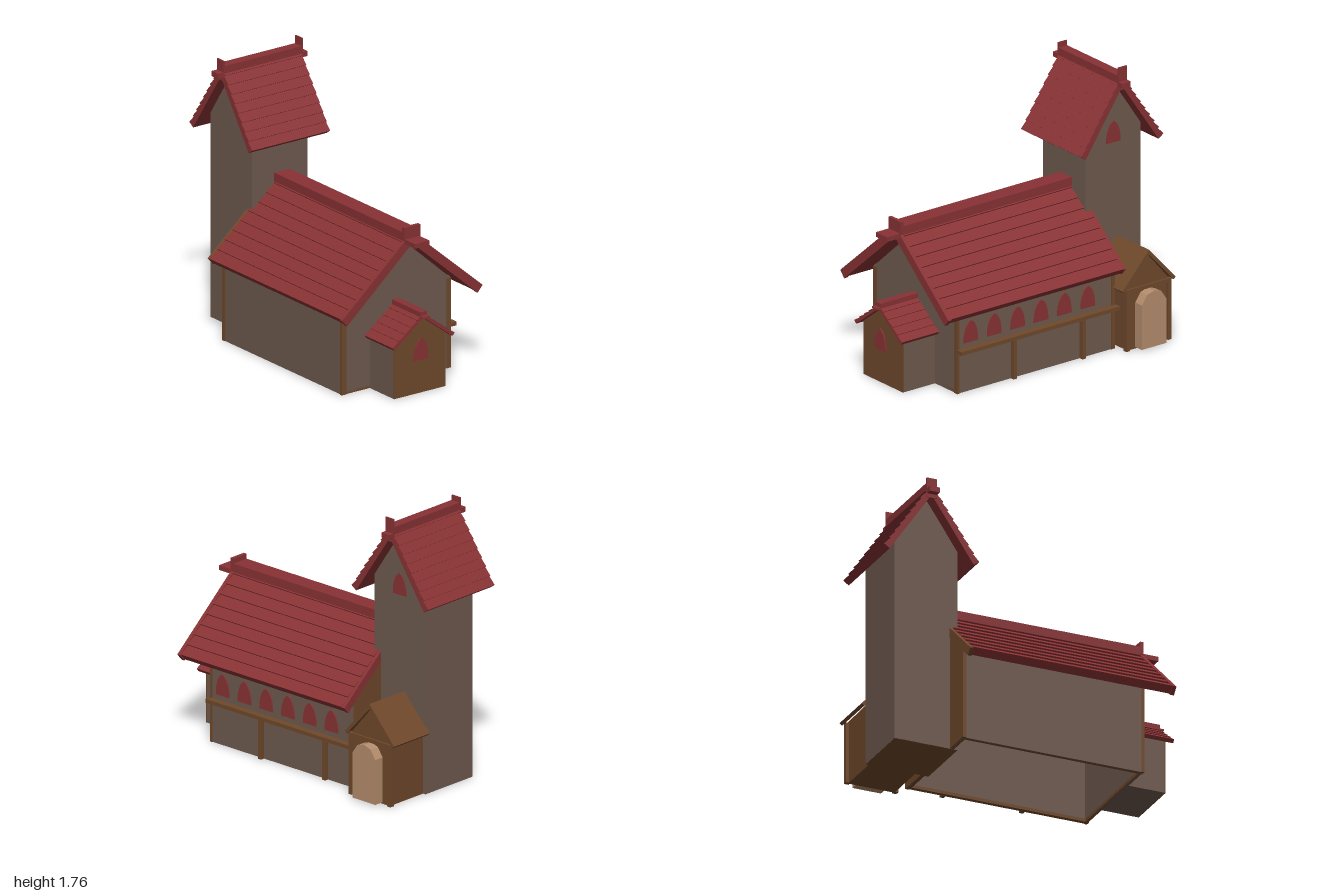
import * as THREE from 'three';

const mat = (name, color) => Object.assign(new THREE.MeshStandardMaterial({ color }), { name });
const WALL = mat('grey brown wall', 0x6e5a4e);
const ROOF = mat('dark red', 0x883234);
const WOOD = mat('brown timber', 0x6f482b);
const DOOR = mat('tan door', 0xb48c6c);

export function createModel() {
  const model = new THREE.Group();
  model.name = 'church';

  const add = (parent, name, geo, material) => {
    const m = new THREE.Mesh(geo, material);
    m.name = name;
    parent.add(m);
    return m;
  };
  // Box given by its limits on each axis
  const box = (parent, name, material, x0, x1, y0, y1, z0, z1) =>
    add(parent, name, new THREE.BoxGeometry(x1 - x0, y1 - y0, z1 - z0), material)
      .position.set((x0 + x1) / 2, (y0 + y1) / 2, (z0 + z1) / 2);
  // Profile in local x/y, extruded from z0 to z1
  const prism = (parent, name, material, pts, z0, z1) => {
    const shape = new THREE.Shape(pts.map(p => new THREE.Vector2(p[0], p[1])));
    const geo = new THREE.ExtrudeGeometry(shape, { depth: z1 - z0, bevelEnabled: false });
    geo.translate(0, 0, z0);
    return add(parent, name, geo, material);
  };
  const gable = (w, eave, apex) => [[-w, 0], [w, 0], [w, eave], [0, apex], [-w, eave]];

  // One roof slope: straight underside, stepped board rows on top
  const slope = (side, apex, w, eave, t, rows, step) => {
    const len = Math.hypot(w, apex - eave), c = w / len, s = (apex - eave) / len;
    const at = (d, h) => [side * (c * d + s * h), apex - s * d + c * h];
    const pts = [[0, apex - t / c], at(len, -t)];
    for (let i = rows; i > 0; i--) {
      pts.push(at(len * i / rows, step), at(len * (i - 1) / rows, 0));
    }
    return pts;
  };
  const roof = (parent, name, material, apex, w, eave, t, rows, step, z0, z1) => {
    for (const side of [-1, 1]) {
      prism(parent, name, material, slope(side, apex, w, eave, t, rows, step), z0, z1);
    }
  };
  // Pointed arch window as a thin plate, base at y = 0
  const archWindow = (parent, name, x, y, z, turn = 0) => {
    const s = new THREE.Shape();
    s.moveTo(-0.054, 0);
    s.lineTo(0.054, 0);
    s.bezierCurveTo(0.054, 0.07, 0.035, 0.125, 0, 0.14);
    s.bezierCurveTo(-0.035, 0.125, -0.054, 0.07, -0.054, 0);
    const geo = new THREE.ExtrudeGeometry(s, { depth: 0.008, bevelEnabled: false, curveSegments: 6 });
    const m = add(parent, name, geo, ROOF);
    m.position.set(x, y, z);
    m.rotation.y = turn;
  };
  const group = (name, x, z, turn = 0) => {
    const g = new THREE.Group();
    g.name = name;
    g.position.set(x, 0, z);
    g.rotation.y = turn;
    model.add(g);
    return g;
  };

  // Nave: local z runs along world x
  const nave = group('nave', 0, 0.015, Math.PI / 2);
  prism(nave, 'eastGableWall', WALL, gable(0.405, 0.585, 0.945), 0.67, 0.685);
  prism(nave, 'westGableWall', WALL, gable(0.405, 0.585, 0.945), -0.515, -0.50);
  prism(nave, 'westGableBoards', WOOD, gable(0.405, 0.585, 0.945), -0.522, -0.516);
  for (const [x0, x1, name] of [[-0.408, -0.398, 'frontWall'], [0.398, 0.408, 'backWall']]) {
    box(nave, name, WALL, x0, x1, 0, 0.59, -0.515, 0.685);
  }
  box(nave, 'frontWallLining', WOOD, -0.397, -0.391, 0.01, 0.58, -0.50, 0.67);
  for (const side of [-1, 1]) {
    const a = side * 0.38, b = side * 0.414;
    for (const [z0, z1] of [[-0.523, -0.497], [0.672, 0.69]]) {
      box(nave, 'cornerPost', WOOD, Math.min(a, b), Math.max(a, b), 0, 0.58, z0, z1);
    }
    box(nave, 'sideSill', WOOD, Math.min(a, side * 0.406), Math.max(a, side * 0.406), 0, 0.02, -0.5, 0.68);
  }
  for (const z of [-0.515, 0.665]) box(nave, 'endSill', WOOD, -0.4, 0.4, 0, 0.02, z, z + 0.02);
  roof(nave, 'naveRoof', ROOF, 1.0, 0.52, 0.55, 0.042, 9, 0.01, -0.50, 0.826);
  roof(nave, 'eastBargeboard', ROOF, 1.012, 0.53, 0.552, 0.055, 1, 0.003, 0.826, 0.85);
  prism(nave, 'westBargeboardFront', WOOD, slope(-1, 1.0, 0.52, 0.55, 0.05, 1, 0.003), -0.523, -0.50);
  prism(nave, 'westBargeboardBack', ROOF, slope(1, 1.0, 0.52, 0.55, 0.05, 1, 0.003), -0.523, -0.50);
  box(nave, 'ridgeCap', ROOF, -0.058, 0.058, 0.94, 1.018, -0.50, 0.83);
  box(nave, 'ridgePost', ROOF, -0.06, 0.06, 0.965, 1.05, 0.826, 0.85);
  box(nave, 'ridgeBeam', ROOF, -0.055, 0.055, 0.945, 0.975, 0.85, 0.95);

  // Row of windows and timber rail on the back wall
  for (let i = 0; i < 6; i++) archWindow(model, 'naveWindow', 0.585 - 0.18 * i, 0.32, -0.394, Math.PI);
  box(model, 'backRail', WOOD, -0.53, 0.69, 0.262, 0.286, -0.44, -0.39);
  for (const x of [0.26, -0.27]) box(model, 'railPost', WOOD, x - 0.013, x + 0.013, 0, 0.262, -0.42, -0.39);

  // East porch
  const porch = group('eastPorch', 0, 0.02, Math.PI / 2);
  prism(porch, 'porchWalls', WALL, gable(0.194, 0.35, 0.495), 0.685, 0.925);
  prism(porch, 'porchFront', WOOD, gable(0.194, 0.35, 0.495), 0.925, 0.932);
  roof(porch, 'porchRoof', ROOF, 0.52, 0.232, 0.345, 0.02, 5, 0.005, 0.685, 0.97);
  box(porch, 'porchRidge', ROOF, -0.025, 0.025, 0.495, 0.535, 0.685, 0.972);
  box(porch, 'porchRidgeBeam', ROOF, -0.025, 0.025, 0.5, 0.511, 0.972, 1.0);
  archWindow(porch, 'porchWindow', -0.005, 0.22, 0.946);

  // Tower
  const tower = group('tower', -0.68, 0);
  prism(tower, 'towerWalls', WALL, gable(0.21, 1.32, 1.635), -0.18, 0.24);
  box(tower, 'towerBase', WOOD, -0.208, 0.208, -0.001, 0.004, -0.178, 0.238);
  roof(tower, 'towerRoof', ROOF, 1.695, 0.31, 1.24, 0.036, 9, 0.01, -0.27, 0.32);
  box(tower, 'towerRidgeCap', ROOF, -0.033, 0.033, 1.62, 1.708, -0.265, 0.315);
  for (const [z0, z1, top] of [[0.314, 0.324, 1.74], [-0.275, -0.265, 1.76]]) {
    box(tower, 'towerRidgePost', ROOF, -0.034, 0.034, 1.61, top, z0, z1);
  }
  box(tower, 'towerRidgeBeam', ROOF, -0.034, 0.034, 1.635, 1.668, -0.31, 0.365);
  archWindow(tower, 'towerWindow', 0, 1.24, -0.179, Math.PI);

  // Timber entrance with arched door behind the tower
  const entry = group('entrance', -0.715, 0);
  prism(entry, 'entranceWalls', WOOD, gable(0.155, 0.41, 0.59), -0.475, -0.17);
  roof(entry, 'entranceRoof', WOOD, 0.625, 0.205, 0.40, 0.022, 1, 0, -0.49, -0.17);
  for (const x of [-0.16, 0.16]) {
    box(entry, 'entrancePost', WOOD, x - 0.014, x + 0.014, 0, 0.40, -0.49, -0.46);
  }
  box(entry, 'entranceBeam', WOOD, -0.17, 0.17, 0.375, 0.4, -0.488, -0.46);
  prism(entry, 'door', DOOR, [[-0.095, 0.01], [0.095, 0.01], [0.095, 0.3], [0.055, 0.358],
    [0, 0.375], [-0.055, 0.358], [-0.095, 0.3]], -0.54, -0.46);

  return model;
}
